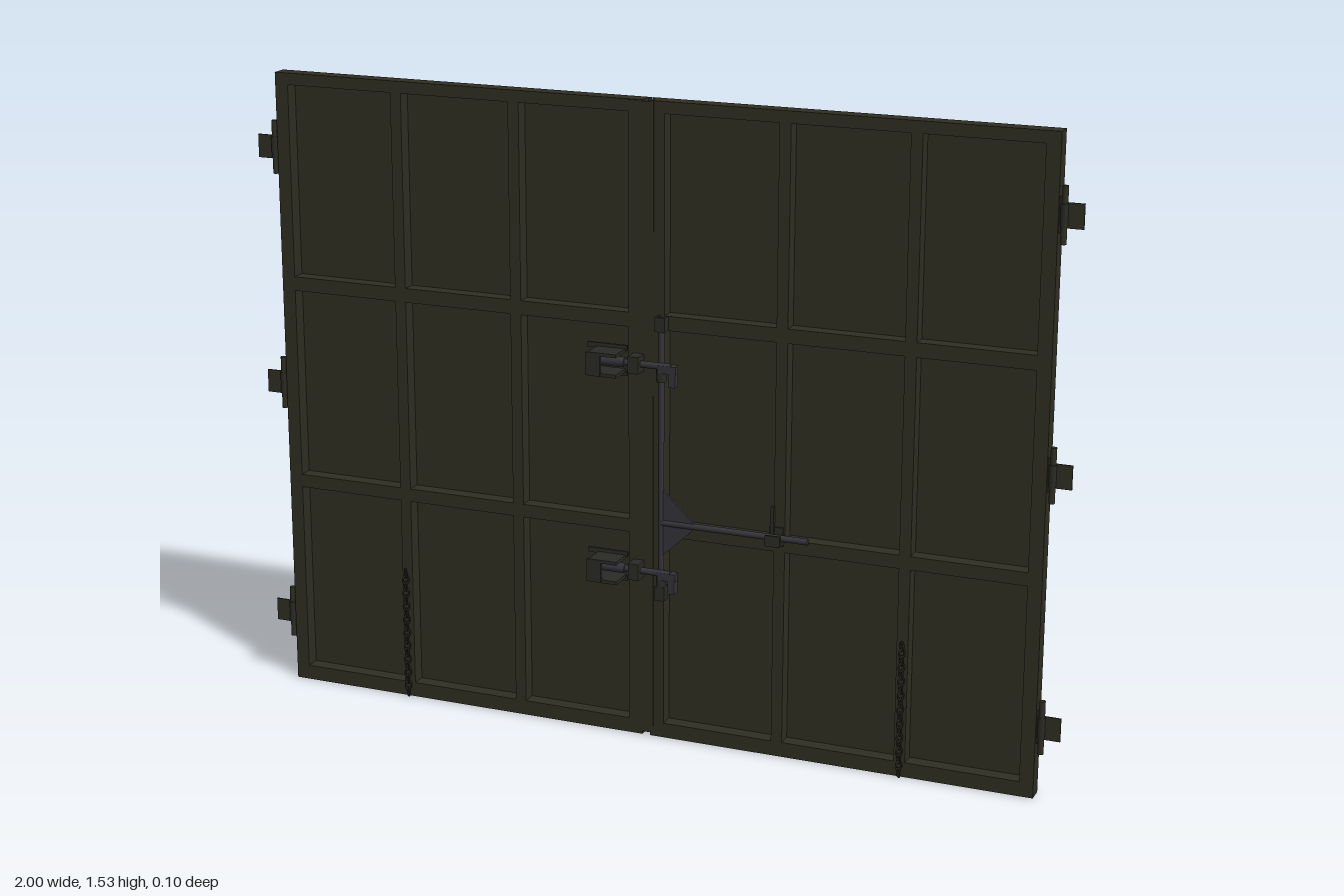
import * as THREE from 'three';

export function createModel() {
  const root = new THREE.Group();
  root.name = 'doubleGate';
  const mat = (name, color) => {
    const m = new THREE.MeshStandardMaterial({ color });
    m.name = name;
    return m;
  };
  const olive = mat('olivePaint', 0x2e2e22);
  const hardware = mat('darkHardware', 0x2a2a25);
  const steel = mat('greySteel', 0x343439);

  const add = (parent, name, geo, material, x = 0, y = 0, z = 0) => {
    const m = new THREE.Mesh(geo, material);
    m.name = name;
    m.position.set(x, y, z);
    parent.add(m);
    return m;
  };
  const box = (p, name, material, w, h, d, x, y, z) =>
    add(p, name, new THREE.BoxGeometry(w, h, d), material, x, y, z);
  const rodY = (p, name, material, r, h, x, y, z) =>
    add(p, name, new THREE.CylinderGeometry(r, r, h, 16), material, x, y, z);
  const rodX = (p, name, material, r, len, x, y, z) => {
    const m = rodY(p, name, material, r, len, x, y, z);
    m.rotation.z = Math.PI / 2;
    return m;
  };
  const group = (name, x = 0, y = 0, z = 0) => {
    const g = new THREE.Group();
    g.name = name;
    g.position.set(x, y, z);
    root.add(g);
    return g;
  };
  const rect = (path, x0, y0, x1, y1) =>
    path.moveTo(x0, y0).lineTo(x1, y0).lineTo(x1, y1).lineTo(x0, y1).closePath();

  const TOP = 1.525, EDGE = 0.945, BACK = -0.051, FRONT = -0.012;
  const columns = [[0.044, 0.315], [0.342, 0.615], [0.642, 0.912]];
  const rows = [[0.036, 0.505], [0.537, 1.0], [1.034, 1.497]];

  for (const s of [-1, 1]) {
    const side = s > 0 ? 'left' : 'right';
    const leaf = group(side + 'Leaf');

    // Welded grid frame with nine openings
    const frame = new THREE.Shape();
    rect(frame, Math.min(s * 0.01, s * EDGE), 0, Math.max(s * 0.01, s * EDGE), TOP);
    for (const [a, b] of columns) for (const [y0, y1] of rows) {
      const hole = new THREE.Path();
      rect(hole, Math.min(s * a, s * b), y0, Math.max(s * a, s * b), y1);
      frame.holes.push(hole);
    }
    const depth = FRONT - BACK - 0.004;
    add(leaf, 'gridFrame', new THREE.ExtrudeGeometry(frame, { depth, bevelEnabled: false }),
      olive, 0, 0, BACK + 0.004);

    // Back sheet
    box(leaf, 'backSheet', olive, EDGE - 0.001, TOP, 0.004,
      s * (EDGE + 0.001) / 2, TOP / 2, BACK + 0.002);

    // Three hinges on the outer edge
    for (const y of [0.172, 0.765, 1.345]) {
      const hinge = group(side + 'Hinge', 0, y, -0.02);
      box(hinge, 'hingePlate', olive, 0.046, 0.056, 0.004, s * 0.977, 0, 0);
      rodY(hinge, 'hingeKnuckle', olive, 0.007, 0.128, s * 0.956, 0, 0);
      box(hinge, 'hingeLeaf', olive, 0.014, 0.08, 0.004, s * 0.949, 0, 0);
      rodY(hinge, 'hingeCollar', hardware, 0.009, 0.05, s * 0.956, 0, 0);
    }

    // Hanging chain with alternating links
    const chain = group(side + 'Chain', s * 0.63, 0, -0.004);
    const link = new THREE.TorusGeometry(0.0075, 0.0022, 6, 12);
    for (let i = 0; i < 19; i++) {
      const l = add(chain, 'chainLink', link, hardware, 0, 0.013 + i * 0.0172, 0);
      l.scale.y = 1.4;
      l.rotation.y = i % 2 ? Math.PI / 4 : -Math.PI / 4;
    }
  }

  // Strip covering the meeting gap
  box(root, 'meetingStrip', olive, 0.06, TOP - 0.01, 0.004, -0.012, TOP / 2 + 0.003, FRONT);

  // Vertical lock rod and its keepers
  const lock = group('lockBar', 0.042, 0, 0);
  rodY(lock, 'lockRod', steel, 0.007, 0.67, 0, 0.695, 0);
  for (const y of [1.018, 0.37]) {
    box(lock, 'rodKeeper', hardware, 0.022, 0.034, 0.006, 0, y, 0.009);
    for (const s of [-1, 1])
      box(lock, 'keeperCheek', hardware, 0.005, 0.034, 0.024, s * 0.0095, y, -0.001);
  }

  // Latches: hollow bracket on one leaf, cranked bolt on the other
  for (const y of [0.92, 0.42]) {
    const latch = group('latch', 0, y, 0);
    for (const s of [-1, 1]) {
      box(latch, 'bracketArm', hardware, 0.07, 0.008, 0.062, -0.085, s * 0.024, 0.019);
      box(latch, 'bracketFlange', hardware, 0.1, 0.012, 0.006, -0.095, s * 0.03, -0.009);
    }
    box(latch, 'bracketFront', hardware, 0.036, 0.054, 0.007, -0.107, 0, 0.0475);
    rodX(latch, 'boltTip', steel, 0.012, 0.08, -0.085, 0, 0.006);
    rodX(latch, 'boltShaft', steel, 0.008, 0.12, 0.008, 0, 0.006);
    box(latch, 'boltGuide', hardware, 0.026, 0.04, 0.038, -0.018, 0, 0.006);
    box(latch, 'crankPlate', steel, 0.045, 0.018, 0.016, 0.06, -0.006, 0.006);
    box(latch, 'crankEnd', steel, 0.016, 0.05, 0.02, 0.072, -0.022, 0.002);
    rodY(latch, 'crankCollar', hardware, 0.012, 0.04, 0.042, -0.018, 0);
  }

  // Lever handle with triangular gusset
  const handle = group('handle', 0, 0.543, 0);
  rodX(handle, 'handleBar', steel, 0.0075, 0.36, 0.222, 0, 0);
  const tri = new THREE.Shape();
  tri.moveTo(0.042, -0.085).lineTo(0.132, 0).lineTo(0.042, 0.085).closePath();
  add(handle, 'handleGusset', new THREE.ExtrudeGeometry(tri, { depth: 0.006, bevelEnabled: false }),
    steel, 0, 0, -0.003);

  // Handle rest with a drop pin
  box(handle, 'restPlate', hardware, 0.034, 0.045, 0.005, 0.322, 0, -0.01);
  box(handle, 'restShelf', hardware, 0.036, 0.007, 0.028, 0.322, -0.013, 0.002);
  box(handle, 'restLip', hardware, 0.036, 0.026, 0.005, 0.322, -0.004, 0.015);
  box(handle, 'restPin', hardware, 0.008, 0.065, 0.008, 0.314, 0.04, -0.006);

  return root;
}
